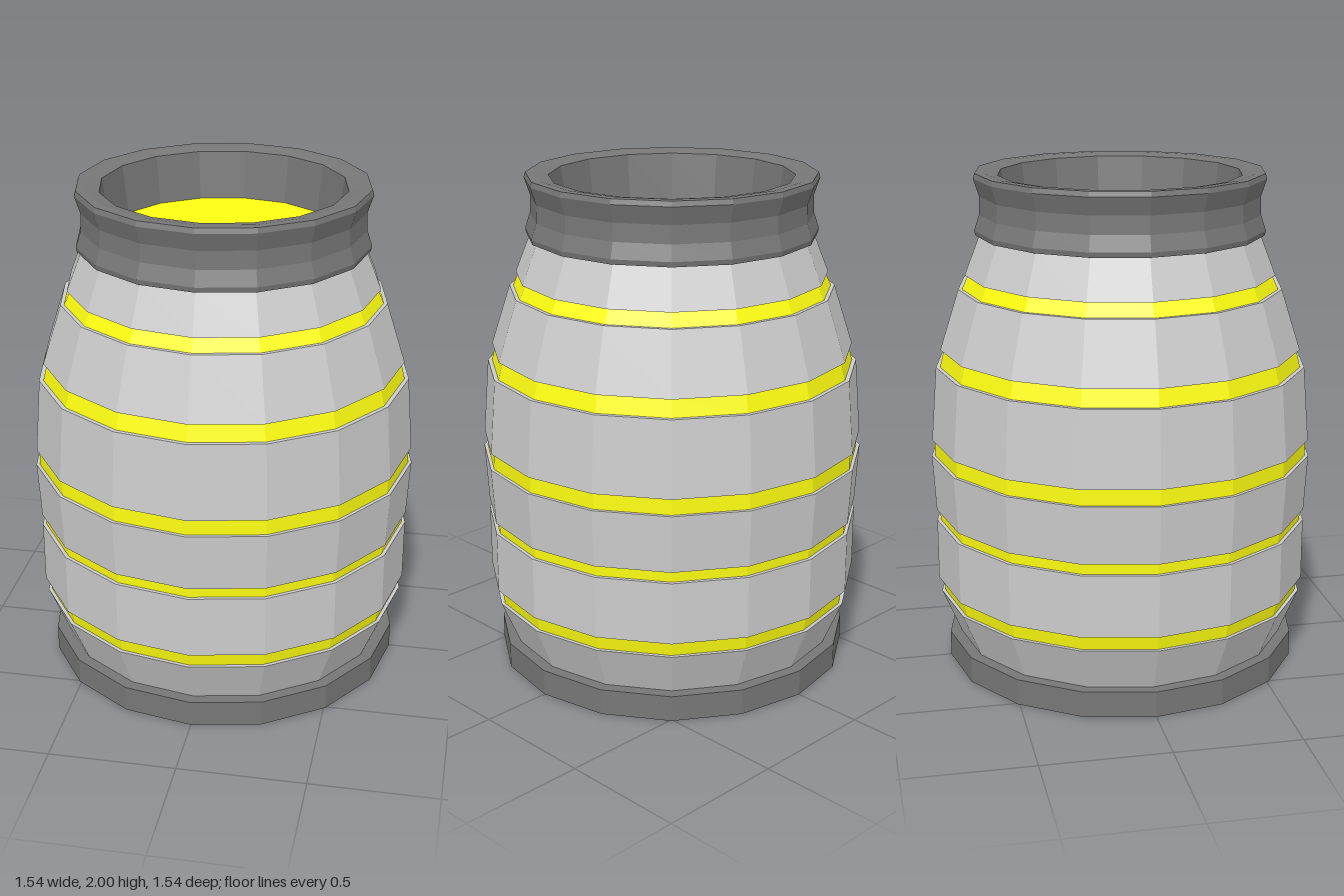
import * as THREE from 'three';

const SIDES = 16;

export function createModel() {
  const root = new THREE.Group();
  root.name = 'barrel';

  const grey = new THREE.MeshStandardMaterial({ color: 0xcccccc, flatShading: true });
  const dark = new THREE.MeshStandardMaterial({ color: 0x777777, flatShading: true });
  const yellow = new THREE.MeshStandardMaterial({ color: 0xffff11, flatShading: true });

  // Profiles run [radius, height], up the outside and down the inside
  const turn = (name, material, profile) => {
    const points = profile.map(([r, y]) => new THREE.Vector2(r, y));
    const mesh = new THREE.Mesh(new THREE.LatheGeometry(points, SIDES), material);
    mesh.name = name;
    root.add(mesh);
  };

  // Foot with a closed underside
  turn('base', dark, [[0, 0], [0.717, 0], [0.717, 0.105], [0, 0.105]]);

  // Raised wall bands: bottom radius, bottom height, top radius, top height
  const bands = [
    [0.67, 0.105, 0.747, 0.29],
    [0.757, 0.35, 0.757, 0.6],
    [0.757, 0.645, 0.77, 0.875],
    [0.766, 0.94, 0.742, 1.24],
    [0.722, 1.31, 0.645, 1.55],
    [0.618, 1.605, 0.555, 1.765],
  ];
  const depth = 0.06;
  bands.forEach(([r0, y0, r1, y1], i) => turn(`wallBand${i + 1}`, grey, [
    [r0 - depth, y0], [r0, y0], [r1, y1], [r1 - depth, y1], [r0 - depth, y0],
  ]));

  // Inner core, seen as stripes between the bands
  turn('core', yellow, [
    [0, 0.25], [0.69, 0.25], [0.732, 0.29], [0.742, 0.35], [0.742, 0.6], [0.744, 0.645],
    [0.756, 0.875], [0.755, 0.94], [0.725, 1.24], [0.708, 1.31],
    [0.63, 1.55], [0.605, 1.605], [0.54, 1.76], [0, 1.76],
  ]);

  // Waisted neck with an open mouth
  turn('neckRim', dark, [
    [0.45, 1.76], [0.572, 1.76], [0.576, 1.78], [0.556, 1.84], [0.553, 1.91],
    [0.576, 1.98], [0.57, 2], [0.535, 2], [0.48, 1.99], [0.455, 1.8], [0.45, 1.76],
  ]);

  // Fill surface inside the mouth
  turn('contents', yellow, [[0.458, 1.77], [0.458, 1.8], [0, 1.8]]);

  return root;
}
